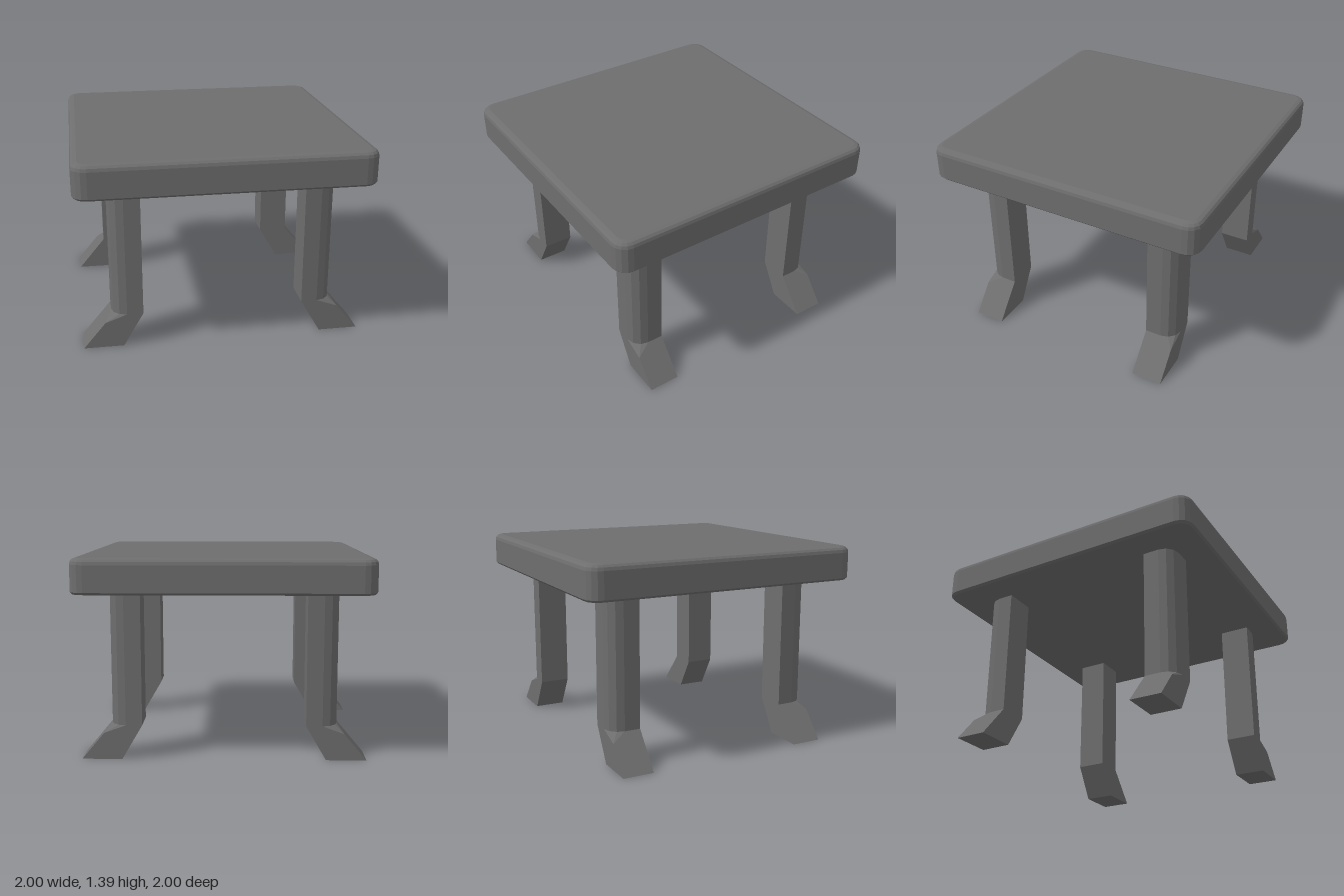
import * as THREE from 'three';

const material = new THREE.MeshStandardMaterial({ color: 0x6e6e6e, flatShading: true });

// Solid faceted skin over rings of [x, y, z] listed from top to bottom, capped at both ends
function loft(rings, flip = false) {
  const pos = [];
  const same = (a, b) => a.every((v, i) => Math.abs(v - b[i]) < 1e-6);
  const tri = (a, b, c) => {
    if (same(a, b) || same(b, c) || same(a, c)) return;
    pos.push(...a, ...(flip ? c : b), ...(flip ? b : c));
  };
  const n = rings[0].length;
  for (let r = 0; r < rings.length - 1; r++) {
    const A = rings[r], B = rings[r + 1];
    for (let i = 0; i < n; i++) {
      const j = (i + 1) % n;
      tri(A[i], A[j], B[j]);
      tri(A[i], B[j], B[i]);
    }
  }
  const top = rings[0], bottom = rings[rings.length - 1];
  for (let i = 1; i < n - 1; i++) {
    tri(top[0], top[i + 1], top[i]);
    tri(bottom[0], bottom[i], bottom[i + 1]);
  }
  const geometry = new THREE.BufferGeometry();
  geometry.setAttribute('position', new THREE.Float32BufferAttribute(pos, 3));
  geometry.computeVertexNormals();
  return geometry;
}

// Rounded square outline at one height
function roundedSquare(half, radius, y, steps = 4) {
  const ring = [];
  for (let q = 0; q < 4; q++) {
    const mid = (q + 0.5) * Math.PI / 2;
    const cx = Math.sign(Math.cos(mid)) * (half - radius);
    const cz = Math.sign(Math.sin(mid)) * (half - radius);
    for (let s = 0; s <= steps; s++) {
      const a = (q + s / steps) * Math.PI / 2;
      ring.push([cx + radius * Math.cos(a), y, cz + radius * Math.sin(a)]);
    }
  }
  return ring;
}

// Leg with a rounded outer corner that turns square where the foot kicks out sideways
function legGeometry(sx, sz) {
  const inner = 0.56, outer = 0.777, radius = 0.105, knee = 0.24, steps = 3;
  const ring = (y, r) => {
    const points = [[inner, inner], [outer, inner]];
    for (let s = 0; s <= steps; s++) {
      const a = s / steps * Math.PI / 2;
      points.push([outer - r + r * Math.cos(a), outer - r + r * Math.sin(a)]);
    }
    points.push([inner, outer]);
    const t = (knee - Math.min(y, knee)) / knee;
    return points.map(([x, z]) => {
      const kick = THREE.MathUtils.mapLinear(x, inner, outer, 0.14, 0.2);
      return [sx * (x + t * kick), y, sz * z];
    });
  };
  return loft([ring(1.17, radius), ring(knee, radius), ring(0.185, 0), ring(0, 0)], sx * sz < 0);
}

export function createModel() {
  const group = new THREE.Group();
  group.name = 'table';
  const add = (name, geometry) => {
    const mesh = new THREE.Mesh(geometry, material);
    mesh.name = name;
    group.add(mesh);
  };

  // Tabletop: softened upper rim, small chamfer underneath
  const rim = [[0.045, 1.395], [0.02, 1.388], [0.006, 1.374], [0, 1.353], [0, 1.175], [0.015, 1.16]];
  add('tabletop', loft(rim.map(([inset, y]) => roundedSquare(1 - inset, 0.1 - inset, y))));

  // Four mirrored legs
  for (const [sz, end] of [[1, 'front'], [-1, 'back']]) {
    for (const [sx, side] of [[1, 'Left'], [-1, 'Right']]) {
      add(`${end}${side}Leg`, legGeometry(sx, sz));
    }
  }
  return group;
}
